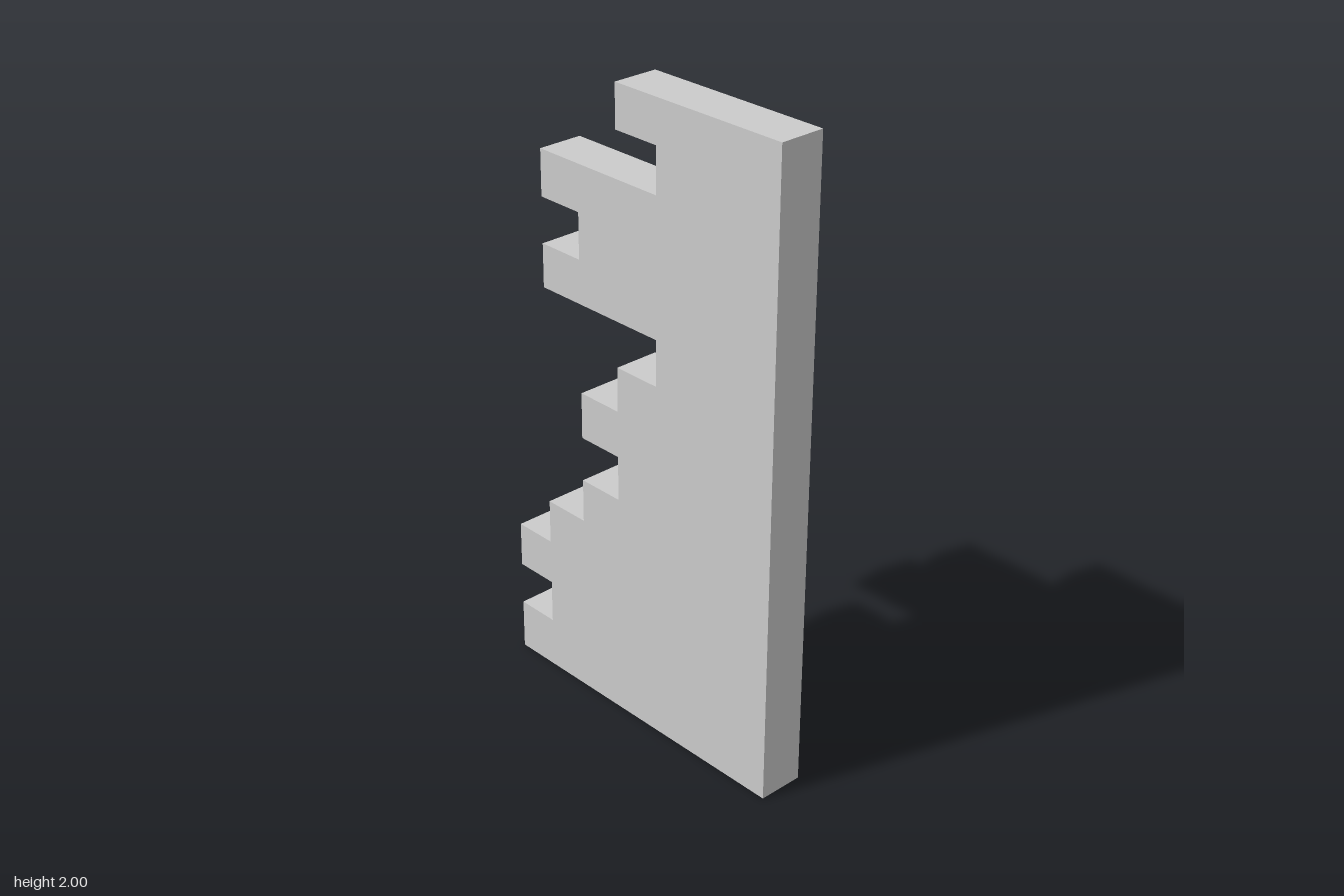
import * as THREE from 'three';

export function createModel() {
  const group = new THREE.Group();
  const front = -0.537, width = 0.145;

  // Each step of the notched back edge: [top height, reach towards the back]
  const steps = [
    [0.163, 0.537], [0.303, 0.393], [0.449, 0.537], [0.592, 0.393],
    [0.731, 0.235], [0.873, 0.078], [1.02, 0.235], [1.16, 0.078],
    [1.303, -0.082], [1.44, 0.393], [1.583, 0.235], [1.727, 0.393],
    [1.867, -0.082], [2, 0.078],
  ];

  // Side outline: straight front edge, stepped back edge
  const outline = new THREE.Shape();
  outline.moveTo(front, 0);
  let y = 0;
  for (const [top, reach] of steps) {
    outline.lineTo(reach, y);
    outline.lineTo(reach, top);
    y = top;
  }
  outline.lineTo(front, y);
  outline.closePath();

  // Extrude across the thickness and turn the outline's x towards the back
  const geometry = new THREE.ExtrudeGeometry(outline, { depth: width, bevelEnabled: false });
  geometry.translate(0, 0, -width / 2);
  geometry.rotateY(Math.PI / 2);

  const plate = new THREE.Mesh(
    geometry,
    new THREE.MeshStandardMaterial({ color: 0xcccccc, flatShading: true })
  );
  plate.name = 'notchedPlate';
  group.add(plate);
  return group;
}
